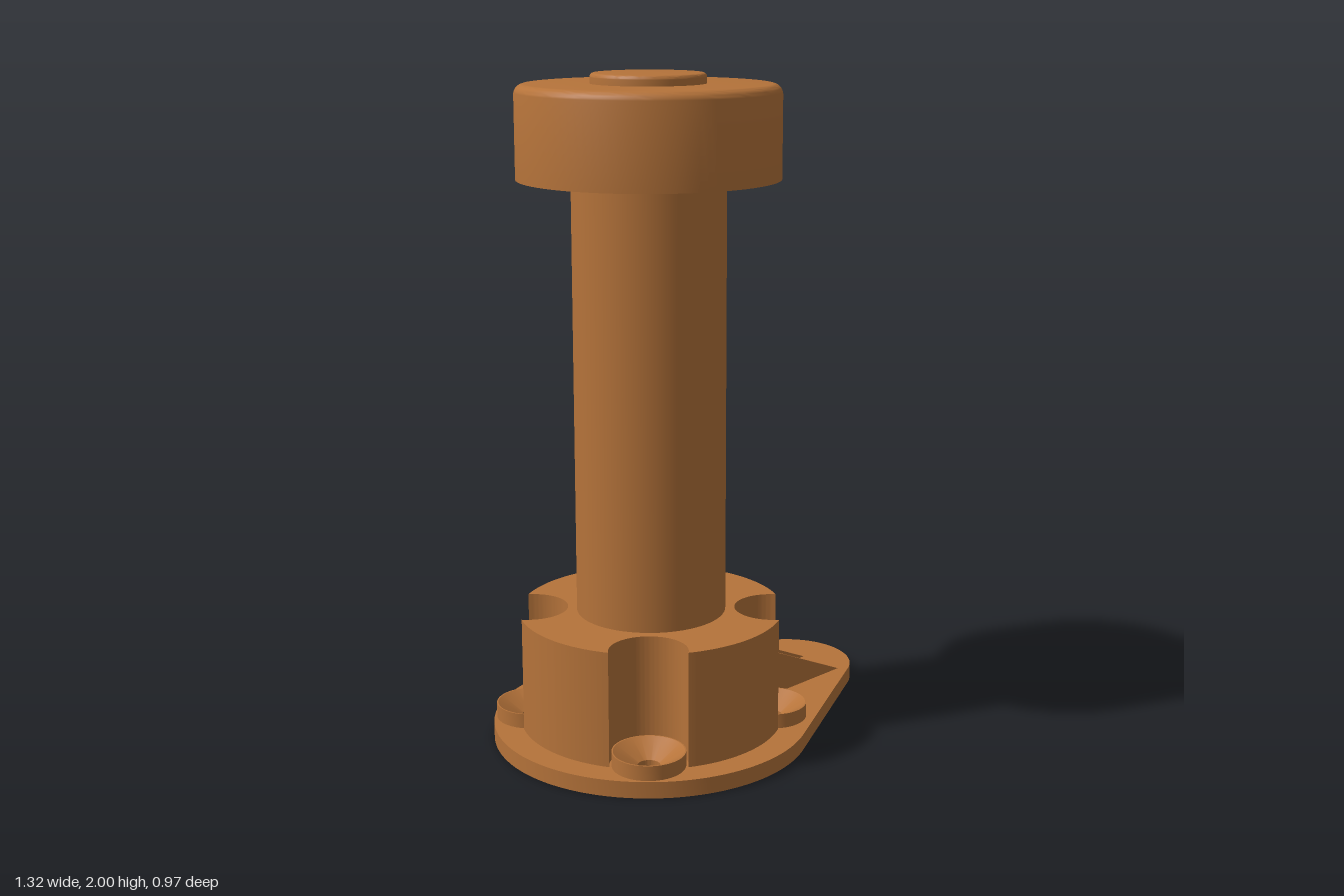
import * as THREE from 'three';
import { toCreasedNormals } from 'three/addons/utils/BufferGeometryUtils.js';

const AXIS_X = -0.175;      // column axis
const BASE_H = 0.05;
const HOLE_OFFSET = 0.26;   // screw positions around the axis
const HOLE_R = 0.033;

export function createModel() {
  const model = new THREE.Group();
  const copper = new THREE.MeshStandardMaterial({ color: 0xb5733a });
  copper.name = 'copper brown';

  const add = (name, geometry, x = 0, y = 0, z = 0) => {
    const mesh = new THREE.Mesh(toCreasedNormals(geometry, 0.5), copper);
    mesh.name = name;
    mesh.position.set(x, y, z);
    model.add(mesh);
    return mesh;
  };
  const extrudeUp = (shape, depth) =>
    new THREE.ExtrudeGeometry(shape, { depth, bevelEnabled: false, curveSegments: 48 }).rotateX(-Math.PI / 2);
  const lathe = (points, segments = 96) =>
    new THREE.LatheGeometry(points.map(([r, y]) => new THREE.Vector2(r, y)), segments);
  // solid disc with a rounded top edge
  const roundedDisc = (r, y0, y1, f) => {
    const points = [[0, y0], [r, y0]];
    for (let i = 0; i <= 8; i++) {
      const a = (i / 8) * Math.PI / 2;
      points.push([r - f + f * Math.cos(a), y1 - f + f * Math.sin(a)]);
    }
    points.push([0, y1]);
    return lathe(points);
  };

  const corners = [[1, 1], [-1, 1], [-1, -1], [1, -1]].map(([sx, sz]) => [sx * HOLE_OFFSET, sz * HOLE_OFFSET]);

  // teardrop base plate: two circles joined by tangents, with screw holes
  const R = 0.483, r = 0.2, d = 0.632;
  const t = Math.acos((R - r) / d);
  const plate = new THREE.Shape();
  plate.absarc(0, 0, R, t, 2 * Math.PI - t, false);
  plate.absarc(d, 0, r, -t, t, false);
  plate.closePath();
  for (const [x, z] of corners) {
    const hole = new THREE.Path();
    hole.absarc(x, z, HOLE_R, 0, 2 * Math.PI, true);
    plate.holes.push(hole);
  }
  add('basePlate', extrudeUp(plate, BASE_H), AXIS_X);

  // hub with four round notches that clear the screws
  const hubR = 0.4, notchR = 0.115, dist = HOLE_OFFSET * Math.SQRT2;
  const phi = Math.acos((hubR ** 2 + dist ** 2 - notchR ** 2) / (2 * hubR * dist));
  const beta = Math.atan2(hubR * Math.sin(phi), hubR * Math.cos(phi) - dist);
  const hub = new THREE.Shape();
  for (let k = 0; k < 4; k++) {
    const a = Math.PI / 4 + k * Math.PI / 2;
    hub.absarc(0, 0, hubR, a - Math.PI / 2 + phi, a - phi, false);
    hub.absarc(dist * Math.cos(a), dist * Math.sin(a), notchR, a - beta, a + beta, true);
  }
  hub.closePath();
  add('hub', extrudeUp(hub, 0.35), AXIS_X, BASE_H);

  // countersunk screw bosses
  for (const [x, z] of corners) {
    add('screwBoss', lathe([[0.108, BASE_H], [0.108, 0.095], [0.104, 0.095], [HOLE_R, BASE_H]], 48), AXIS_X + x, 0, z);
  }

  // stiffening ribs running toward the narrow end
  const ribW = 0.014;
  for (const z of [-0.15, 0, 0.15]) {
    const start = AXIS_X + Math.sqrt(hubR ** 2 - z ** 2) - 0.02;
    const rib = new THREE.Shape();
    rib.moveTo(start, BASE_H);
    rib.lineTo(0.52, BASE_H);
    rib.lineTo(0.225, 0.185);
    rib.lineTo(start, 0.185);
    rib.closePath();
    add('rib', new THREE.ExtrudeGeometry(rib, { depth: ribW, bevelEnabled: false }), 0, 0, z - ribW / 2);
  }

  // column, cap and top button
  add('column', new THREE.CylinderGeometry(0.225, 0.225, 1.3, 96), AXIS_X, 1.05);
  add('cap', roundedDisc(0.383, 1.7, 1.97, 0.03), AXIS_X);
  add('topButton', roundedDisc(0.167, 1.96, 2.0, 0.012), AXIS_X);

  return model;
}
